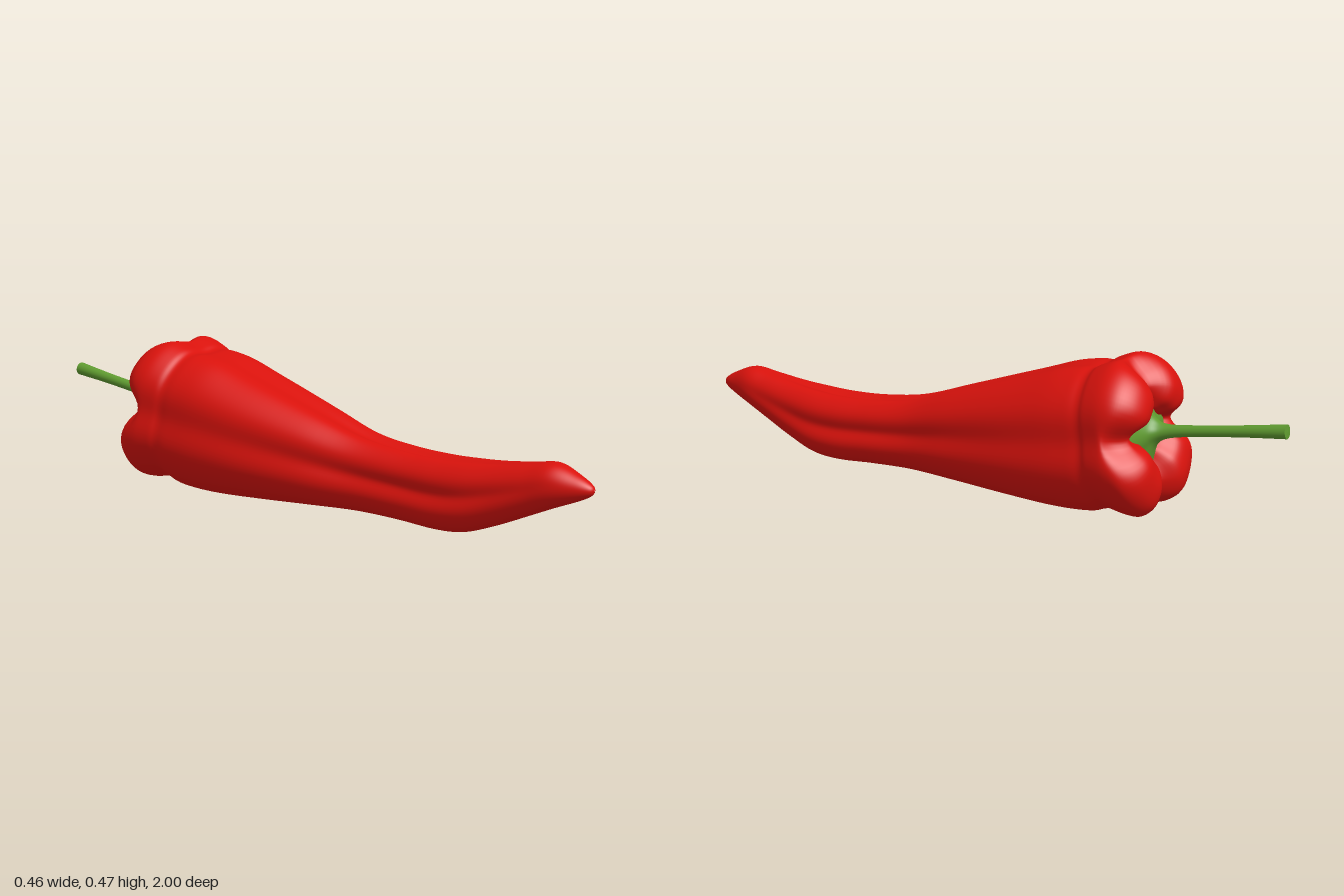
import * as THREE from 'three';

// Catmull-Rom refinement of a list of numeric rows
function refine(rows, steps) {
  const out = [];
  const row = (i) => rows[Math.min(Math.max(i, 0), rows.length - 1)];
  for (let i = 0; i < rows.length - 1; i++) {
    for (let s = 0; s < steps; s++) {
      const t = s / steps;
      out.push(row(i).map((b, k) => {
        const a = row(i - 1)[k], c = row(i + 1)[k], d = row(i + 2)[k];
        return b + 0.5 * t * (c - a + t * (2 * a - 5 * b + 4 * c - d + t * (3 * (b - c) + d - a)));
      }));
    }
  }
  out.push(rows[rows.length - 1]);
  return out;
}

// Skin closed rings of points, running from front to back
function loft(rings) {
  const n = rings[0].length, index = [];
  for (let i = 0; i < rings.length - 1; i++) {
    for (let j = 0; j < n; j++) {
      const a = i * n + j, b = i * n + (j + 1) % n;
      index.push(a, a + n, b, b, a + n, b + n);
    }
  }
  const geo = new THREE.BufferGeometry();
  geo.setAttribute('position', new THREE.Float32BufferAttribute(rings.flat(2), 3));
  geo.setIndex(index);
  geo.computeVertexNormals();
  return geo;
}

// Four grooves around the fruit: sides, top and bottom
const GROOVES = [0.1, Math.PI / 2, Math.PI - 0.1, Math.PI * 1.5];
function groove(a) {
  return GROOVES.reduce((sum, g) => {
    const d = Math.atan2(Math.sin(a - g), Math.cos(a - g));
    return sum + Math.exp(-((d / 0.3) ** 2));
  }, 0);
}

// z, top, bottom, half width, groove depth
const BODY = [
  [1.0, 0.201, 0.199, 0.001, 0],
  [0.99, 0.215, 0.183, 0.017, 0],
  [0.95, 0.237, 0.162, 0.038, 0],
  [0.88, 0.262, 0.133, 0.063, 0.02],
  [0.8, 0.25, 0.098, 0.073, 0.06],
  [0.7, 0.235, 0.055, 0.085, 0.12],
  [0.6, 0.226, 0.021, 0.098, 0.17],
  [0.5, 0.222, 0.013, 0.102, 0.2],
  [0.37, 0.228, 0.02, 0.102, 0.2],
  [0.22, 0.25, 0.024, 0.112, 0.18],
  [0.05, 0.305, 0.018, 0.15, 0.14],
  [-0.15, 0.37, 0.008, 0.188, 0.11],
  [-0.3, 0.418, 0.002, 0.207, 0.1],
  [-0.4, 0.436, 0.008, 0.212, 0.1],
  [-0.445, 0.438, 0.022, 0.211, 0.1],
  [-0.475, 0.453, 0.028, 0.22, 0.1],
  [-0.53, 0.47, 0.02, 0.229, 0.11],
  [-0.58, 0.46, 0.025, 0.222, 0.15],
  [-0.62, 0.43, 0.055, 0.188, 0.16],
  [-0.638, 0.39, 0.105, 0.145, 0.08],
  [-0.625, 0.365, 0.14, 0.115, -0.1],
  [-0.59, 0.345, 0.165, 0.092, -0.2],
  [-0.56, 0.32, 0.19, 0.067, -0.2],
  [-0.55, 0.256, 0.254, 0.001, 0],
];

function bodyRing([z, top, bottom, half, depth]) {
  const n = 96, pts = [];
  for (let j = 0; j < n; j++) {
    const a = (j / n) * Math.PI * 2, r = 1 - depth * groove(a);
    pts.push([r * Math.cos(a), r * Math.sin(a), groove(a)]);
  }
  // Fit the lobed outline to the wanted height and width
  const xs = pts.map((p) => p[0]), ys = pts.map((p) => p[1]);
  const xMax = Math.max(...xs), yMax = Math.max(...ys), yMin = Math.min(...ys);
  const shift = 0.009 * Math.exp(-(((z - 0.45) / 0.28) ** 2));
  const shear = 0.14 * THREE.MathUtils.smoothstep(-z, 0.2, 0.45);
  const pull = 0.06 * THREE.MathUtils.smoothstep(-z, 0.5, 0.62);
  return pts.map(([px, py, g]) => {
    const y = bottom + ((py - yMin) / (yMax - yMin)) * (top - bottom);
    return [shift + (px / xMax) * half, y, z + shear * (y - 0.25) + pull * g];
  });
}

// z, centre y, radius, star amount
const STEM = [
  [-0.545, 0.255, 0.118, 0.22],
  [-0.565, 0.255, 0.1, 0.2],
  [-0.58, 0.256, 0.065, 0.12],
  [-0.598, 0.259, 0.037, 0.06],
  [-0.63, 0.264, 0.022, 0],
  [-0.7, 0.275, 0.017, 0],
  [-0.85, 0.297, 0.017, 0],
  [-0.97, 0.314, 0.02, 0],
  [-0.998, 0.318, 0.021, 0],
];

function stemRing([z, cy, radius, star]) {
  return Array.from({ length: 48 }, (_, j) => {
    const a = (j / 48) * Math.PI * 2;
    const r = radius * (1 + star * Math.cos(4 * a));
    return [r * Math.cos(a), cy + r * Math.sin(a), z + 0.1 * r * Math.sin(a)];
  });
}

export function createModel() {
  const group = new THREE.Group();
  group.name = 'pepper';

  const body = new THREE.Mesh(
    loft(refine(BODY, 6).map(bodyRing)),
    new THREE.MeshStandardMaterial({ color: 0xd9120c }),
  );
  body.name = 'fruit';

  // Calyx flaring into the stem, closed by a flat cut end
  const stemRows = refine(STEM, 5);
  stemRows.push(STEM[STEM.length - 1], [-0.999, 0.318, 0.0005, 0]);
  const stem = new THREE.Mesh(
    loft(stemRows.map(stemRing)),
    new THREE.MeshStandardMaterial({ color: 0x5f9a30, side: THREE.DoubleSide }),
  );
  stem.name = 'stemAndCalyx';

  group.add(body, stem);
  return group;
}
